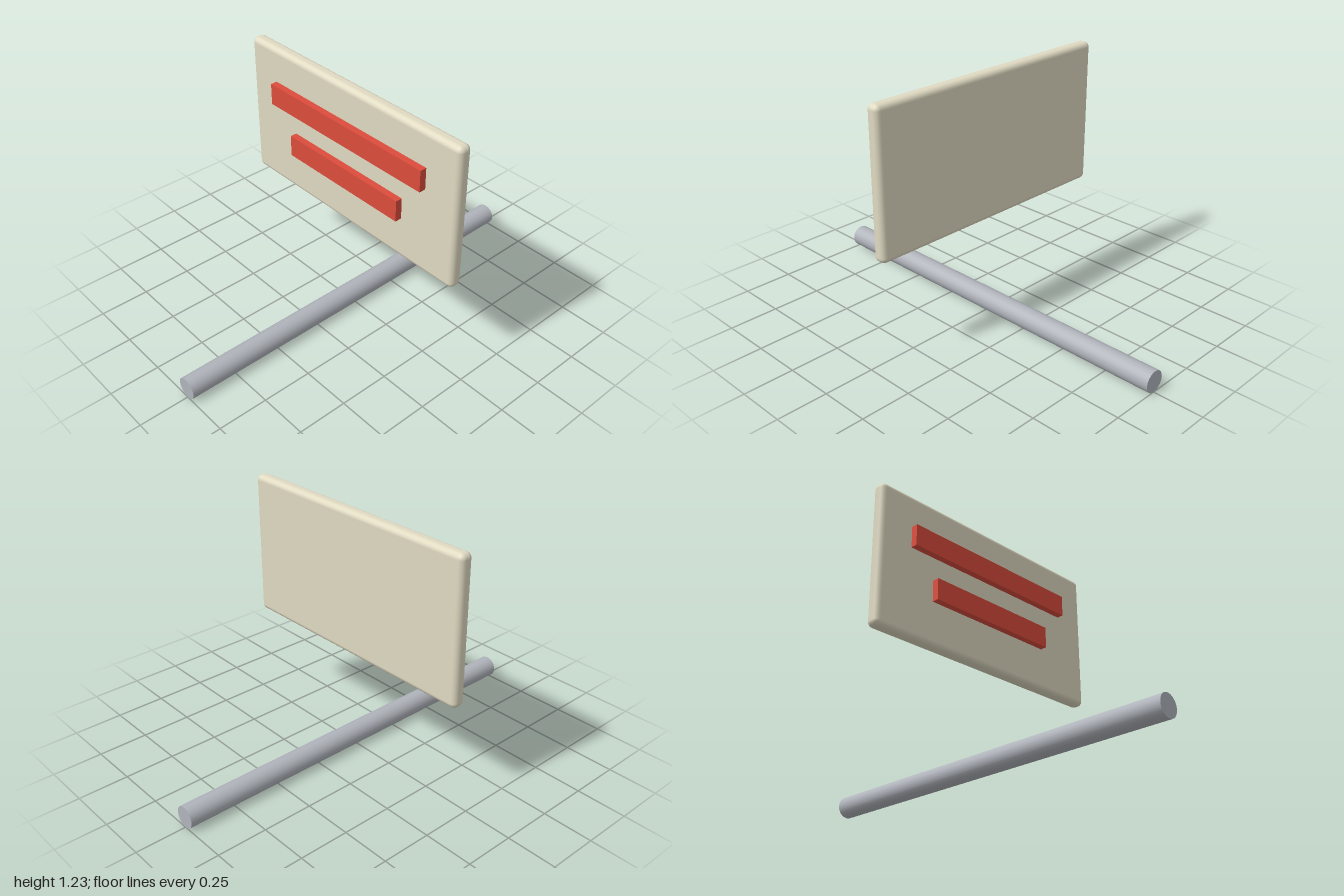
import * as THREE from 'three';
import { RoundedBoxGeometry } from 'three/addons/geometries/RoundedBoxGeometry.js';

const material = (color) => new THREE.MeshStandardMaterial({ color });

export function createModel() {
  const model = new THREE.Group();
  model.name = 'hangingSign';

  const add = (name, geometry, mat, x, y, z) => {
    const mesh = new THREE.Mesh(geometry, mat);
    mesh.name = name;
    mesh.position.set(x, y, z);
    model.add(mesh);
    return mesh;
  };

  const cream = material(0xe0dac2);
  const red = material(0xdc4c3c);
  const steel = material(0xb0b4bb);

  // Horizontal rod running front to back
  const rod = add('rod', new THREE.CylinderGeometry(0.054, 0.054, 2, 20), steel, 0, 0.054, 0);
  rod.rotation.x = Math.PI / 2;

  // Sign board with rounded edges
  add('board', new RoundedBoxGeometry(1.356, 0.723, 0.07, 3, 0.027), cream, 0, 0.873, 0);

  // Raised bars on the front face: [name, width, height above ground]
  for (const [name, width, y] of [['upperBar', 0.995, 1.009], ['lowerBar', 0.724, 0.783]]) {
    add(name, new THREE.BoxGeometry(width, 0.108, 0.034), red, 0, y, 0.053);
  }

  return model;
}
